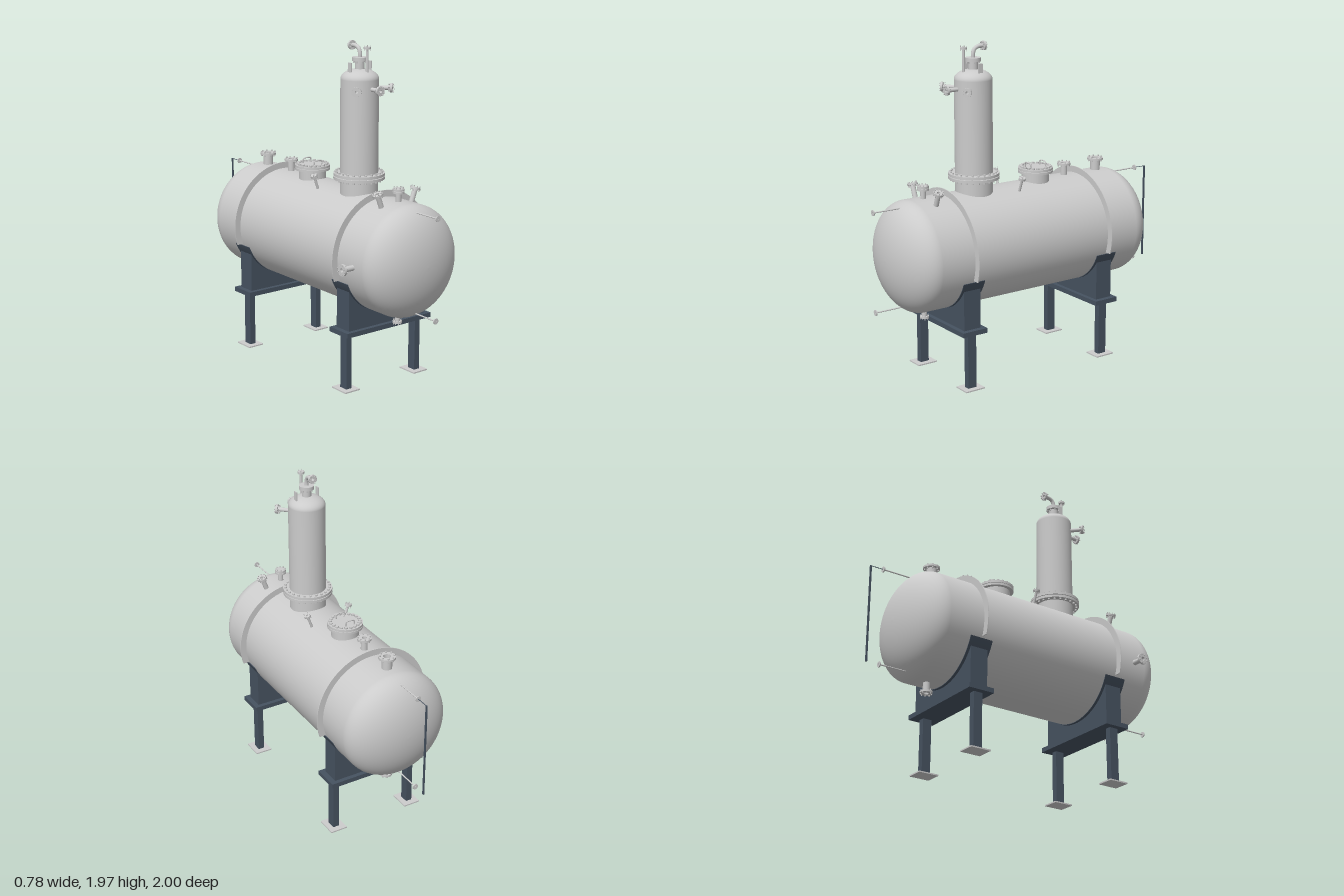
import * as THREE from 'three';

const grey = new THREE.MeshStandardMaterial({ color: 0xcccccc, side: THREE.DoubleSide });
const dark = new THREE.MeshStandardMaterial({ color: 0x465260, side: THREE.DoubleSide });
const UP = new THREE.Vector3(0, 1, 0);
const CY = 0.775, R = 0.329;          // vessel axis height and radius
const Z0 = -0.655, Z1 = 0.745;        // ends of the straight shell
const TZ = 0.318, TR = 0.111;         // column axis and radius

function add(parent, name, geo, mat = grey, x = 0, y = 0, z = 0) {
  const m = new THREE.Mesh(geo, mat);
  m.name = name;
  m.position.set(x, y, z);
  parent.add(m);
  return m;
}
const cyl = (r, h, n = 20) => new THREE.CylinderGeometry(r, r, h, n);
const box = (x, y, z) => new THREE.BoxGeometry(x, y, z);

// Ring of bolts through a flange lying across the local y axis
function bolts(parent, r, y, n, size, h) {
  for (let i = 0; i < n; i++) {
    const a = ((i + 0.5) / n) * Math.PI * 2;
    add(parent, 'bolt', cyl(size, h, 6), grey, r * Math.cos(a), y, r * Math.sin(a));
  }
}

// Flanged pipe stub from a point along a direction; open bore or blind cover
function nozzle(parent, name, from, dir, len, neck, flange, { blind = false, n = 8, t = 0.012 } = {}) {
  const g = new THREE.Group();
  g.name = name;
  g.position.set(...from);
  g.quaternion.setFromUnitVectors(UP, new THREE.Vector3(...dir).normalize());
  const bore = blind ? 0.0001 : neck * 0.75;
  // Straight segments keep separate vertices so the flange edges stay sharp
  const p = [[bore, 0], [neck, 0], [neck, len - t], [flange, len - t], [flange, len], [bore, len], [bore, 0]];
  for (let i = 1; i < p.length - 1 + (blind ? 0 : 1); i++) {
    add(g, 'nozzleWall', new THREE.LatheGeometry([p[i - 1], p[i]].map(q => new THREE.Vector2(...q)), 24));
  }
  if (blind) add(g, 'blindCover', cyl(flange, t, 24), grey, 0, len - t * 1.7, 0);
  if (n) bolts(g, flange * 0.82, len - t * 0.6, n, flange * 0.1, t * 2.6);
  parent.add(g);
  return g;
}

function vessel(root) {
  // Shell with elliptical heads turned around z
  const pts = [];
  const N = 20, depth = 0.182;
  for (let i = 0; i <= N; i++) {
    const a = (i / N) * Math.PI / 2;
    pts.push(new THREE.Vector2(R * Math.sin(a), Z0 - depth * Math.cos(a)));
  }
  for (let i = 0; i <= N; i++) {
    const a = (i / N) * Math.PI / 2;
    pts.push(new THREE.Vector2(R * Math.cos(a), Z1 + depth * Math.sin(a)));
  }
  add(root, 'vesselShell', new THREE.LatheGeometry(pts, 72), grey, 0, CY, 0).rotation.x = Math.PI / 2;

  // Stiffening rings over the upper part
  for (const z of [0.53, -0.432]) {
    const s = new THREE.Shape();
    s.absarc(0, 0, 0.367, -0.305, Math.PI + 0.305, false);
    s.absarc(0, 0, R - 0.003, Math.PI + 0.34, -0.34, true);
    const geo = new THREE.ExtrudeGeometry(s, { depth: 0.006, bevelEnabled: false, curveSegments: 48 });
    add(root, 'stiffeningRing', geo, grey, 0, CY, z - 0.003);
  }
}

function vesselNozzles(root) {
  const top = CY + R - 0.02;
  nozzle(root, 'rearTopNozzle', [0, top, -0.588], [0, 1, 0], 0.095, 0.03, 0.05);
  nozzle(root, 'midTopNozzle', [0, top, -0.343], [0, 1, 0], 0.095, 0.02, 0.042);
  nozzle(root, 'frontTopNozzle', [0, top, 0.668], [0, 1, 0], 0.095, 0.016, 0.034, { blind: true });
  for (const s of [-1, 1]) {
    const dir = [s * 0.342, 0.94, 0];
    const at = z => [dir[0] * (R - 0.01), CY + dir[1] * (R - 0.01), z];
    nozzle(root, 'frontAngledNozzle', at(0.652), dir, 0.095, 0.015, 0.031);
    nozzle(root, 'smallAngledNozzle', at(0.072), dir, 0.1, 0.008, 0.021, { n: 4 });
  }
  nozzle(root, 'sideNozzle', [-R + 0.02, CY, 0.668], [-1, 0, 0], 0.098, 0.016, 0.034);
  nozzle(root, 'frontDrain', [0, CY - R + 0.02, 0.673], [0, -1, 0], 0.078, 0.015, 0.027);
  nozzle(root, 'rearDrain', [0, CY - R + 0.02, -0.6], [0, -1, 0], 0.083, 0.02, 0.037);

  // Manhole with bolted cover and two grips
  const m = nozzle(root, 'manhole', [0, 1.07, -0.127], [0, 1, 0], 0.112, 0.083, 0.106, { blind: true, n: 20, t: 0.014 });
  for (const z of [-0.055, 0.055]) {
    const path = new THREE.CatmullRomCurve3([[-0.028, 0.11], [-0.027, 0.138], [0, 0.143], [0.027, 0.138], [0.028, 0.11]]
      .map(([x, y]) => new THREE.Vector3(x, y, z)));
    add(m, 'manholeGrip', new THREE.TubeGeometry(path, 20, 0.004, 8), grey);
  }

  // Instrument lines out of both heads
  for (const y of [1.07, 0.483]) {
    nozzle(root, 'frontInstrumentLine', [0, y, 0.8], [0, 0, 1], 0.2, 0.004, 0.017, { n: 0, t: 0.006 });
    nozzle(root, 'rearInstrumentLine', [0, y, -0.72], [0, 0, -1], 0.193, 0.004, 0.017, { n: 0, t: 0.006 });
  }
  // Level gauge behind the rear head
  add(root, 'levelGauge', box(0.008, 0.59, 0.01), dark, 0, 0.776, -0.992);
  add(root, 'levelGaugeArm', box(0.003, 0.003, 0.08), dark, 0, 1.07, -0.952);
}

function column(root) {
  const g = new THREE.Group();
  g.name = 'column';
  g.position.z = TZ;
  root.add(g);
  add(g, 'columnNeck', cyl(TR, 0.13, 48), grey, 0, 1.12, 0);
  add(g, 'lowerFlange', cyl(0.15, 0.016, 48), grey, 0, 1.184, 0);
  add(g, 'upperFlange', cyl(0.15, 0.016, 48), grey, 0, 1.204, 0);
  bolts(g, 0.135, 1.194, 24, 0.007, 0.056);
  const pts = [new THREE.Vector2(TR, 1.2)];
  for (let i = 0; i <= 14; i++) {
    const a = (i / 14) * Math.PI / 2;
    pts.push(new THREE.Vector2(TR * Math.cos(a), 1.757 + 0.06 * Math.sin(a)));
  }
  add(g, 'columnShell', new THREE.LatheGeometry(pts, 48));

  // Three side nozzles on the front half
  for (const a of [-1, 0, 1]) {
    const d = [Math.sin(a * Math.PI / 4), 0, Math.cos(a * Math.PI / 4)];
    nozzle(g, 'columnNozzle', [d[0] * 0.1, 1.708, d[2] * 0.1], d, 0.088, 0.012, 0.028);
  }
  // Top flange pair with an outlet bend to the rear
  nozzle(g, 'topNozzle', [0, 1.8, 0], [0, 1, 0], 0.072, 0.028, 0.045);
  add(g, 'topCover', cyl(0.045, 0.01, 24), grey, 0, 1.877, 0);
  const bend = new THREE.CatmullRomCurve3([[1.87, 0], [1.905, 0], [1.93, -0.01], [1.942, -0.032], [1.944, -0.06]]
    .map(([y, z]) => new THREE.Vector3(0, y, z)));
  add(g, 'outletBend', new THREE.TubeGeometry(bend, 24, 0.012, 14));
  nozzle(g, 'outletFlange', [0, 1.944, -0.055], [0, 0, -1], 0.023, 0.012, 0.027);
  // Slim vent pipe and lifting lugs
  nozzle(g, 'ventPipe', [0, 1.79, 0.065], [0, 1, 0], 0.155, 0.008, 0.02, { n: 4 });
  for (const s of [-1, 1]) add(g, 'liftingLug', box(0.006, 0.07, 0.03), grey, s * 0.073, 1.82, 0);
}

function support(root, z) {
  const g = new THREE.Group();
  g.name = 'saddleSupport';
  g.position.z = z;
  root.add(g);
  // Saddle body cut to the vessel curve
  const w = 0.284, a = Math.acos(w / R);
  const s = new THREE.Shape();
  s.moveTo(-w, 0.36 - CY);
  s.lineTo(w, 0.36 - CY);
  s.absarc(0, 0, R, -a, -Math.PI + a, true);
  s.closePath();
  add(g, 'saddle', new THREE.ExtrudeGeometry(s, { depth: 0.112, bevelEnabled: false, curveSegments: 32 }), dark, 0, CY, -0.056);
  // Wear plate hugging the shell
  const p = new THREE.Shape();
  p.absarc(0, 0, R + 0.003, -0.37, -Math.PI + 0.37, true);
  p.absarc(0, 0, R - 0.004, -Math.PI + 0.37, -0.37, false);
  add(g, 'wearPlate', new THREE.ExtrudeGeometry(p, { depth: 0.146, bevelEnabled: false, curveSegments: 48 }), dark, 0, CY, -0.073);
  add(g, 'crossBeam', box(0.63, 0.028, 0.164), dark, 0, 0.354, 0);
  for (const side of [-1, 1]) {
    add(g, 'leg', box(0.038, 0.335, 0.056), dark, side * 0.26, 0.1755, 0);
    add(g, 'footPlate', box(0.106, 0.008, 0.128), grey, side * 0.26, 0.004, 0);
  }
}

export function createModel() {
  const root = new THREE.Group();
  root.name = 'pressureVessel';
  const body = new THREE.Group();
  body.name = 'vesselAssembly';
  body.position.x = 0.019;
  root.add(body);
  vessel(body);
  vesselNozzles(body);
  column(body);
  for (const z of [0.527, -0.437]) support(body, z);
  return root;
}
